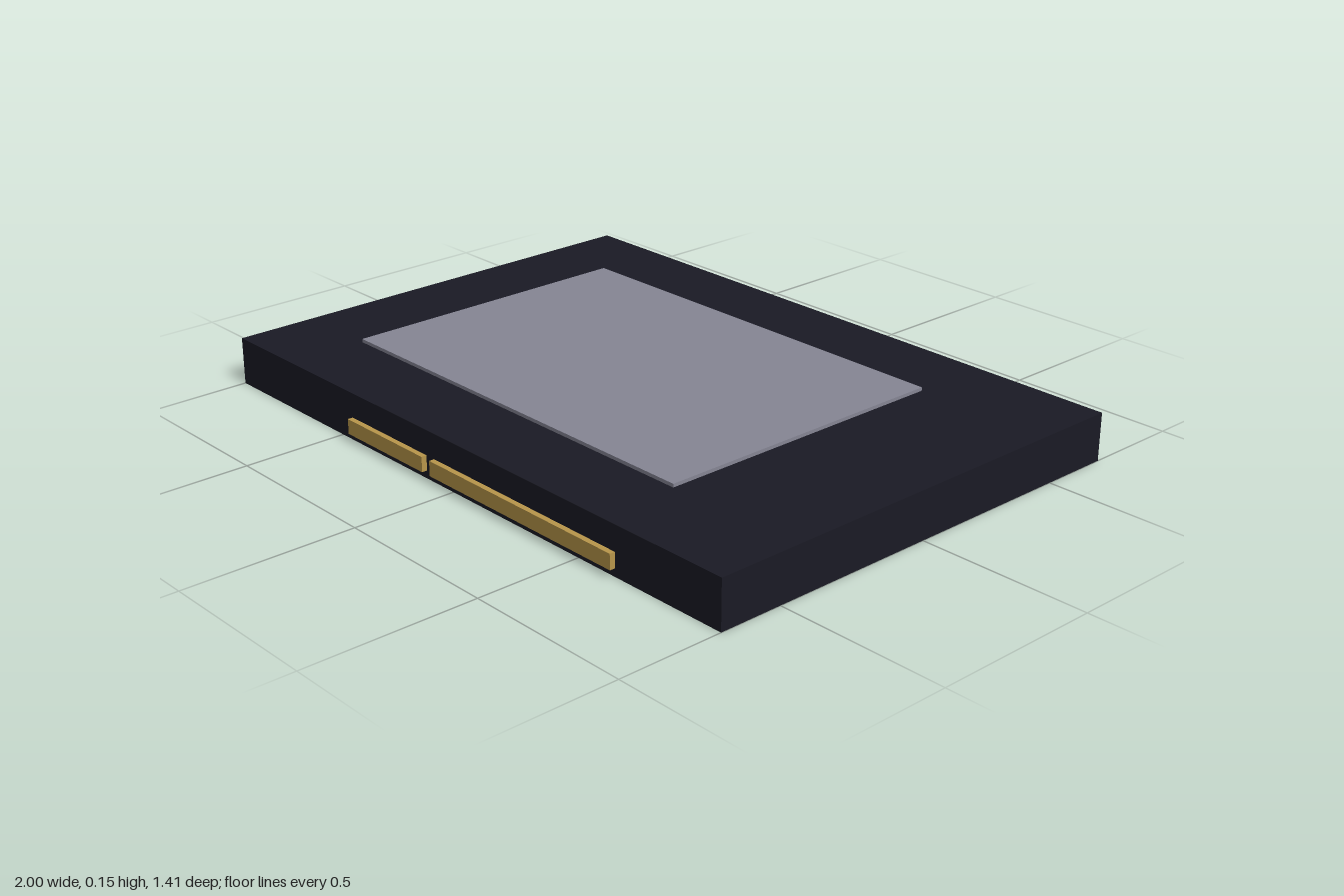
import * as THREE from 'three';

// Box given by its extents [min, max] on each axis
function block(name, color, [x0, x1], [y0, y1], [z0, z1]) {
  const geometry = new THREE.BoxGeometry(x1 - x0, y1 - y0, z1 - z0);
  const mesh = new THREE.Mesh(geometry, new THREE.MeshStandardMaterial({ color }));
  mesh.position.set((x0 + x1) / 2, (y0 + y1) / 2, (z0 + z1) / 2);
  mesh.name = name;
  return mesh;
}

export function createModel() {
  const group = new THREE.Group();
  group.name = 'solidStateDrive';

  // Flat drive case
  group.add(block('case', 0x1a1a24, [-1, 1], [0, 0.14], [-0.707, 0.691]));

  // Raised label plate on the top
  group.add(block('labelPlate', 0x858594, [-0.74, 0.579], [0.139, 0.15], [-0.467, 0.451]));

  // Gold contact strips on the front edge: short data, long power
  const strips = { dataConnector: [-0.449, -0.113], powerConnector: [-0.08, 0.635] };
  for (const [name, span] of Object.entries(strips)) {
    group.add(block(name, 0xb8964a, span, [0.023, 0.067], [0.68, 0.707]));
  }
  return group;
}
